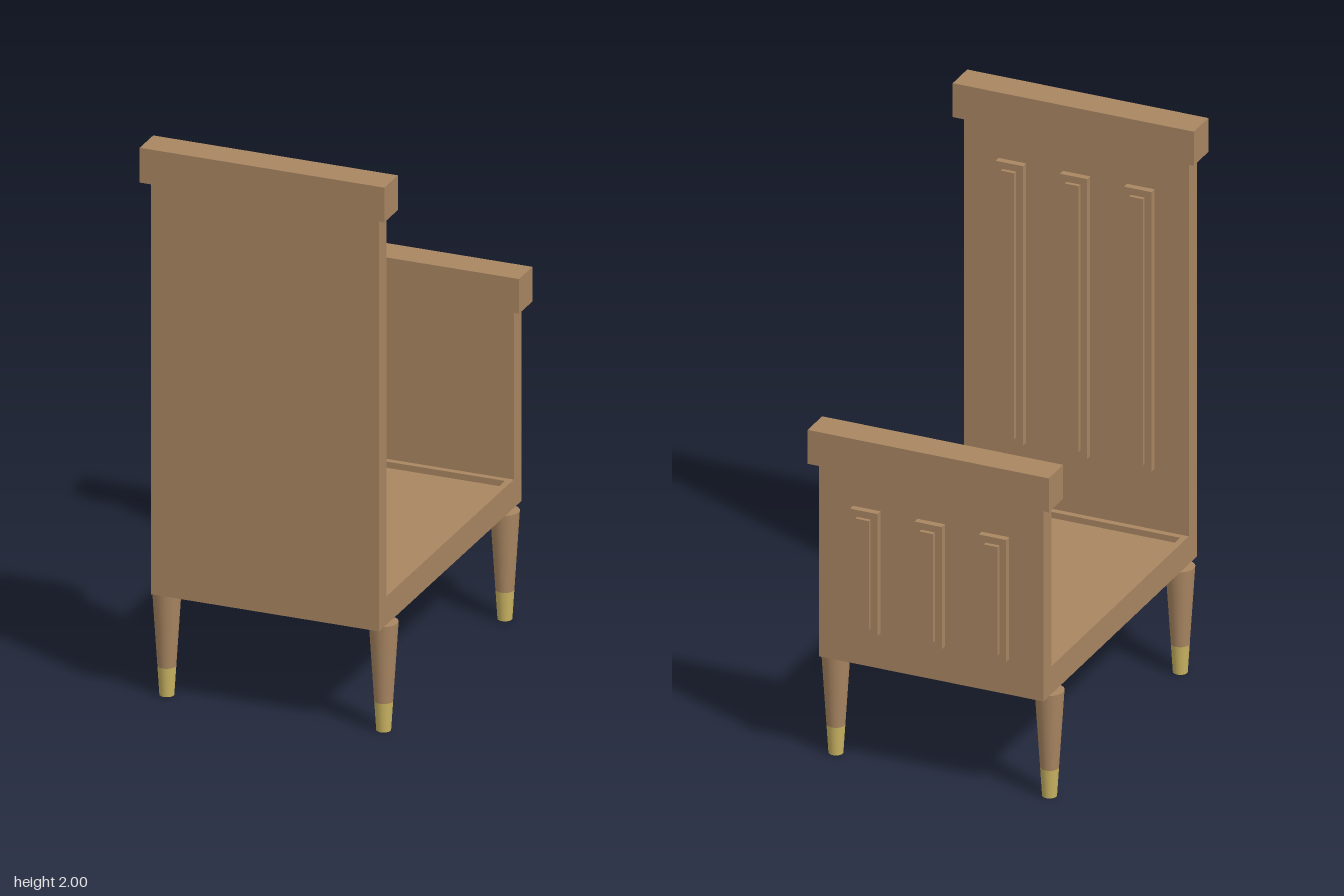
import * as THREE from 'three';

const wood = new THREE.MeshStandardMaterial({ color: 0xa98662 });
const brass = new THREE.MeshStandardMaterial({ color: 0xc9b362 });

// Box given by its lower and upper corners
function box(name, [x0, y0, z0], [x1, y1, z1], parent) {
  const mesh = new THREE.Mesh(new THREE.BoxGeometry(x1 - x0, y1 - y0, z1 - z0), wood);
  mesh.position.set((x0 + x1) / 2, (y0 + y1) / 2, (z0 + z1) / 2);
  mesh.name = name;
  parent.add(mesh);
}

// Upright board with a cap rail and three stepped panels on its -z face
function endBoard(name, { top, back, front, capBack, capFront, capTop, panelY }) {
  const group = new THREE.Group();
  group.name = name;
  box('board', [-0.41, 0.39, back], [0.41, top, front], group);
  box('capRail', [-0.44, top, capBack], [0.44, capTop, capFront], group);
  const [y0, y1] = panelY;
  for (const x of [-0.235, 0, 0.235]) {
    box('panelBase', [x - 0.05, y0, back - 0.024], [x + 0.05, y1, back], group);
    box('panelField', [x - 0.025, y0 + 0.025, back - 0.038], [x + 0.025, y1 - 0.025, back - 0.024], group);
  }
  return group;
}

// Tapered wooden leg with a brass ferrule at the foot
function leg(x, z) {
  const group = new THREE.Group();
  group.name = 'leg';
  const taper = y => 0.025 + 0.025 * y / 0.39;
  const section = (name, y0, y1, material) => {
    const mesh = new THREE.Mesh(new THREE.CylinderGeometry(taper(y1), taper(y0), y1 - y0, 24), material);
    mesh.position.y = (y0 + y1) / 2;
    mesh.name = name;
    group.add(mesh);
  };
  section('legShaft', 0.105, 0.39, wood);
  section('ferrule', 0, 0.105, brass);
  group.position.set(x, 0, z);
  return group;
}

export function createModel() {
  const bed = new THREE.Group();
  bed.name = 'bed';

  bed.add(endBoard('headboard', {
    top: 1.875, back: 0.55, front: 0.613, capBack: 0.524, capFront: 0.639, capTop: 2, panelY: [0.715, 1.745],
  }));
  bed.add(endBoard('footboard', {
    top: 1.103, back: -0.6, front: -0.536, capBack: -0.623, capFront: -0.509, capTop: 1.228, panelY: [0.52, 0.97],
  }));

  // Rail frame around a recessed platform
  for (const s of [-1, 1]) {
    const xs = [s * 0.388, s * 0.41].sort((a, b) => a - b);
    box('sideRail', [xs[0], 0.39, -0.536], [xs[1], 0.492, 0.55], bed);
  }
  box('headRail', [-0.388, 0.39, 0.528], [0.388, 0.492, 0.55], bed);
  box('footRail', [-0.388, 0.39, -0.536], [0.388, 0.492, -0.514], bed);
  box('platform', [-0.388, 0.43, -0.514], [0.388, 0.47, 0.528], bed);

  for (const x of [-0.39, 0.39]) for (const z of [-0.508, 0.526]) bed.add(leg(x, z));
  return bed;
}
